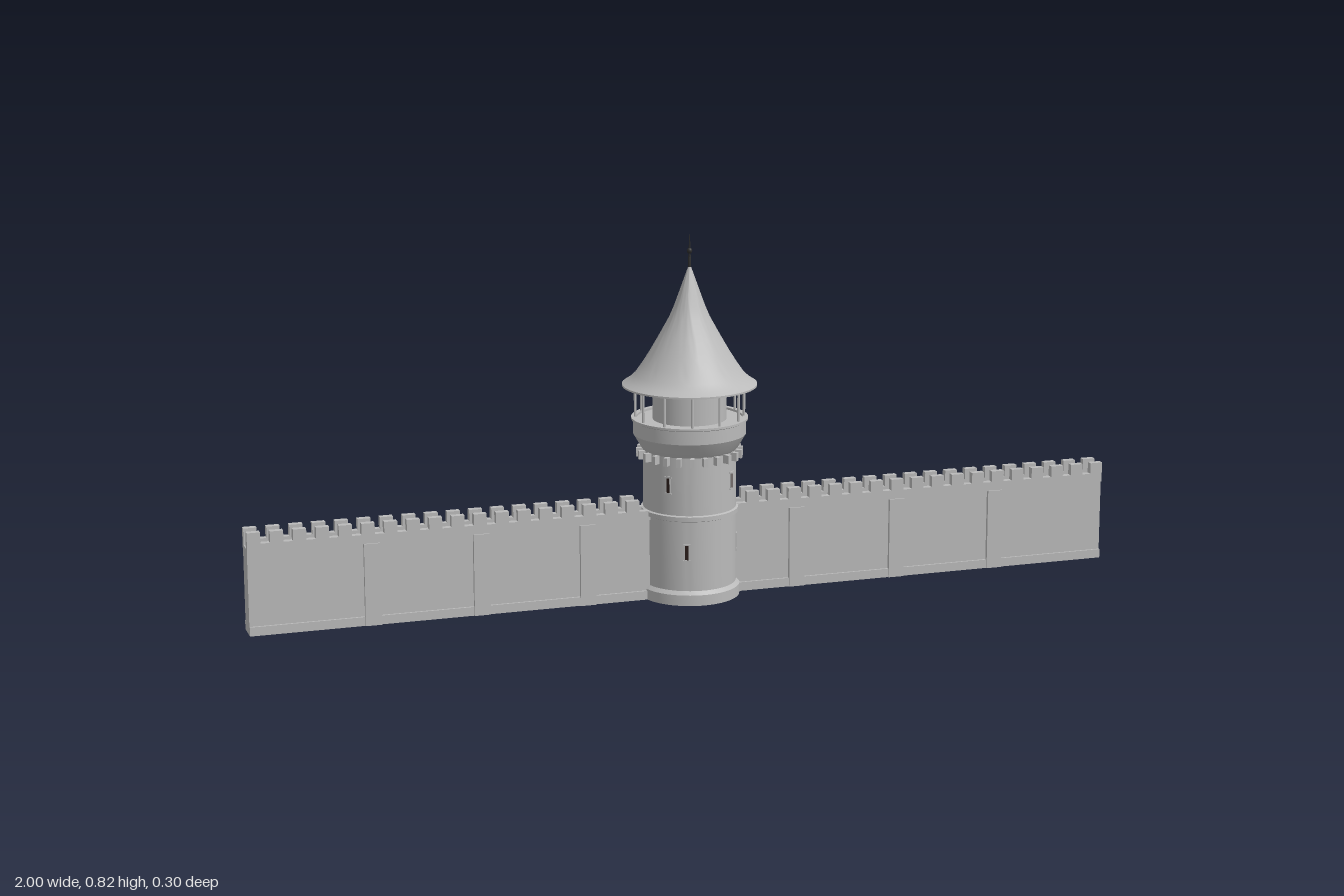
import * as THREE from 'three';
import { toCreasedNormals } from 'three/addons/utils/BufferGeometryUtils.js';

const stone = new THREE.MeshStandardMaterial({ color: 0xbababa });
stone.name = 'grey stone';
const slitDark = new THREE.MeshStandardMaterial({ color: 0x2a1d1a });
slitDark.name = 'dark opening';
const iron = new THREE.MeshStandardMaterial({ color: 0x2c2c2c });
iron.name = 'dark iron';

function add(parent, name, geo, mat, x = 0, y = 0, z = 0) {
  const m = new THREE.Mesh(geo, mat);
  m.name = name;
  m.position.set(x, y, z);
  parent.add(m);
  return m;
}

// Box given by its extents along each axis
function block(parent, name, x0, x1, y0, y1, z0, z1, mat = stone) {
  return add(parent, name, new THREE.BoxGeometry(x1 - x0, y1 - y0, z1 - z0), mat,
    (x0 + x1) / 2, (y0 + y1) / 2, (z0 + z1) / 2);
}

function lathe(parent, name, profile, mat = stone, segments = 64) {
  const pts = profile.map(([r, y]) => new THREE.Vector2(r, y));
  return add(parent, name, toCreasedNormals(new THREE.LatheGeometry(pts, segments), 0.5), mat);
}

// Group turned so that its local +x points outward at the given angle from +x toward +z
function spoke(parent, name, degrees) {
  const g = new THREE.Group();
  g.name = name;
  g.rotation.y = -THREE.MathUtils.degToRad(degrees);
  parent.add(g);
  return g;
}

// Arrow slit with jambs, lintel and sill on the tower face
function arrowSlit(parent, degrees, y) {
  const g = spoke(parent, 'arrowSlit', degrees);
  block(g, 'slitOpening', 0.1, 0.1045, y - 0.017, y + 0.017, -0.0035, 0.0035, slitDark);
  for (const s of [-1, 1]) {
    block(g, 'slitEnd', 0.1, 0.106, y + s * 0.0185 - 0.002, y + s * 0.0185 + 0.002, -0.008, 0.008);
    block(g, 'slitJamb', 0.1, 0.1055, y - 0.017, y + 0.017, s * 0.0045 - 0.001, s * 0.0045 + 0.001);
  }
}

function buildWall() {
  const wall = new THREE.Group();
  wall.name = 'curtainWall';
  block(wall, 'wallBody', -1, 1, 0, 0.192, -0.024, 0.024);
  const teeth = 18, pitch = 0.0497, tooth = 0.029;
  for (const f of [-1, 1]) {
    const across = (name, x0, x1, y0, y1, a, b) =>
      block(wall, name, x0, x1, y0, y1, Math.min(f * a, f * b), Math.max(f * a, f * b));
    // Plinth, cornice and parapet along each face
    across('wallPlinth', -1, 1, 0, 0.02, 0.02, 0.029);
    across('wallCornice', -1, 1, 0.183, 0.192, 0.02, 0.028);
    across('parapet', -1, 1, 0.19, 0.204, 0.013, 0.028);
    for (const s of [-1, 1]) {
      for (let i = 0; i < teeth; i++) {
        const c = s * (1 - tooth / 2 - i * pitch);
        across('merlon', c - tooth / 2, c + tooth / 2, 0.204, 0.229, 0.013, 0.028);
      }
      for (const x of [0.245, 0.487, 0.73]) {
        across('buttress', s * x - 0.018, s * x + 0.018, 0, 0.184, 0.02, 0.032);
      }
    }
  }
  return wall;
}

function buildTower() {
  const tower = new THREE.Group();
  tower.name = 'tower';
  // Hollow-bottomed shaft with base, string course and flared gallery
  lathe(tower, 'towerShaft', [
    [0, 0.185], [0.092, 0.185], [0.092, 0], [0.112, 0], [0.112, 0.024], [0.104, 0.032],
    [0.104, 0.19], [0.109, 0.192], [0.109, 0.202], [0.104, 0.204],
    [0.104, 0.335], [0.109, 0.341], [0.126, 0.37], [0.126, 0.4],
    [0.13, 0.402], [0.13, 0.407], [0.118, 0.407], [0.118, 0.402], [0, 0.402],
  ]);
  // Ring of corbels under the gallery
  for (let i = 0; i < 24; i++) {
    const g = spoke(tower, 'corbel', i * 15);
    block(g, 'corbelBlock', 0.1, 0.119, 0.317, 0.336, -0.005, 0.005);
  }
  for (let k = 0; k < 4; k++) {
    arrowSlit(tower, 21.5 + k * 90, 0.12);
    arrowSlit(tower, 45 + k * 90, 0.271);
  }
  // Lookout room and the posts around it
  add(tower, 'lookoutRoom', new THREE.CylinderGeometry(0.082, 0.082, 0.08, 48, 1, true), stone, 0, 0.44, 0);
  for (let i = 0; i < 12; i++) {
    const g = spoke(tower, 'roofPost', 15 + i * 30);
    add(g, 'roofPostShaft', new THREE.CylinderGeometry(0.003, 0.003, 0.078, 10), stone, 0.121, 0.441, 0);
  }
  // Bell-shaped roof with closed underside
  lathe(tower, 'roof', [
    [0, 0.478], [0.15, 0.478], [0.15, 0.482], [0.137, 0.49], [0.122, 0.504], [0.106, 0.527],
    [0.09, 0.552], [0.067, 0.592], [0.045, 0.632], [0.034, 0.658], [0.025, 0.683], [0.011, 0.722], [0, 0.753],
  ]);
  // Finial
  lathe(tower, 'finialRod', [[0.0035, 0.74], [0.0035, 0.765], [0.002, 0.772], [0.0018, 0.795], [0, 0.822]], iron, 12);
  const ball = add(tower, 'finialBall', new THREE.SphereGeometry(0.006, 16, 12), iron, 0, 0.779, 0);
  ball.scale.y = 1.15;
  return tower;
}

export function createModel() {
  const model = new THREE.Group();
  model.name = 'towerAndWall';
  model.add(buildWall(), buildTower());
  return model;
}
